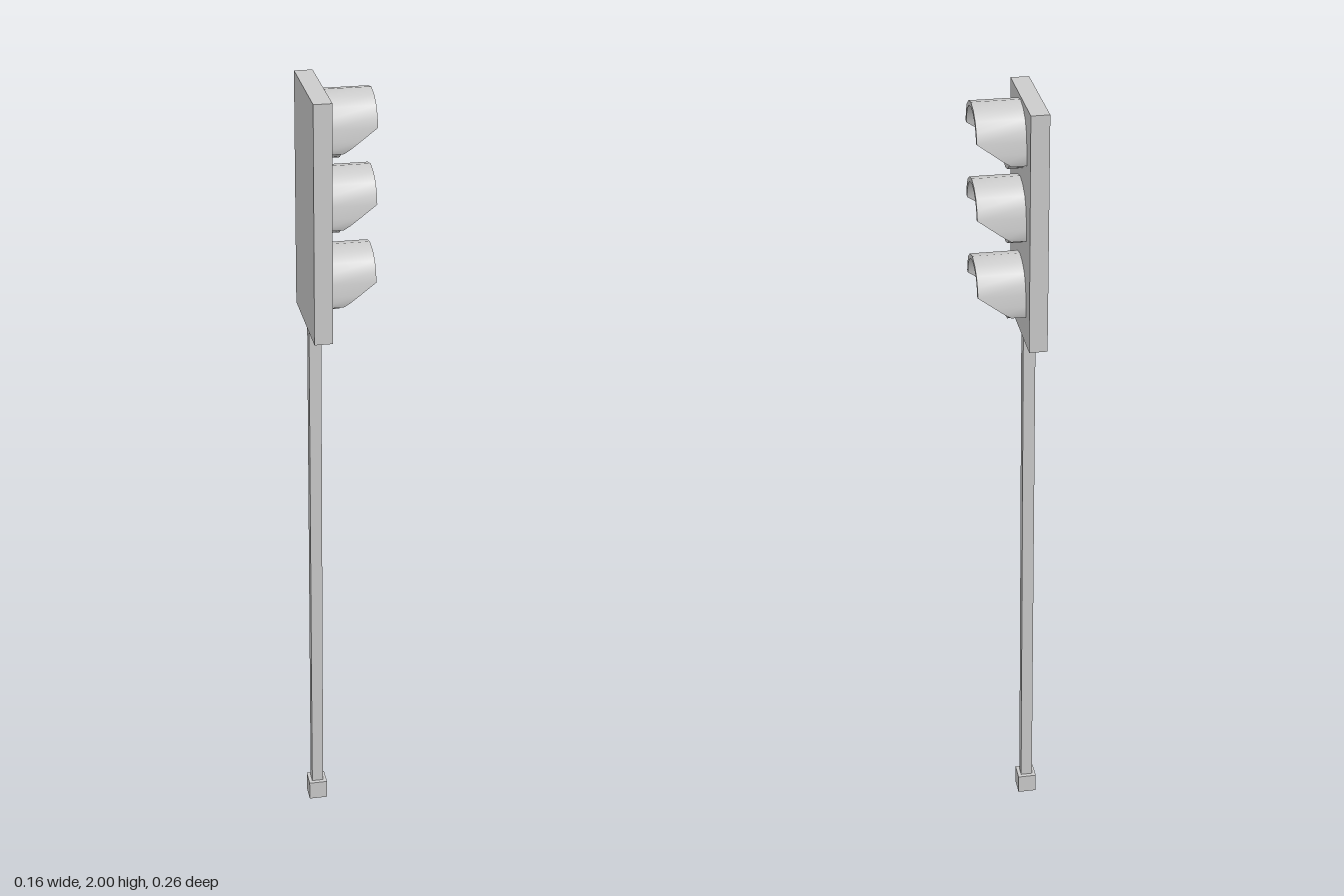
import * as THREE from 'three';
import { toCreasedNormals } from 'three/addons/utils/BufferGeometryUtils.js';

const material = new THREE.MeshStandardMaterial({ color: 0xcccccc });
const AXIS_X = -0.057; // line of the pole
const BOARD_FRONT = -0.035;

function addMesh(parent, name, geometry, x, y, z) {
  const mesh = new THREE.Mesh(geometry, material);
  mesh.name = name;
  mesh.position.set(x, y, z);
  parent.add(mesh);
  return mesh;
}

// Hood: an arch with splayed legs, its front cut back at a slant towards the bottom
function visorGeometry() {
  const half = [ // [z, y] from the foot of a leg up to the crown
    [0.084, -0.041], [0.0875, -0.03], [0.086, -0.012], [0.082, 0.016],
    [0.076, 0.04], [0.062, 0.063], [0.035, 0.08],
  ];
  const arch = [...half, [0, 0.088], ...half.map(([z, y]) => [-z, y]).reverse()];
  const frontX = (y) => Math.min(0.079, 0.079 * (y + 0.041) / 0.057);

  // Each station is a rectangle: outer back, outer front, inner front, inner back
  const stations = arch.map(([z, y]) => {
    const iz = z * 0.87;
    const iy = y > 0 ? y * 0.87 : y;
    return [
      [BOARD_FRONT, y, z], [frontX(y), y, z],
      [frontX(y), iy, iz], [BOARD_FRONT, iy, iz],
    ];
  });
  const positions = [];
  const quad = (a, b, c, d) => positions.push(...a, ...b, ...c, ...a, ...c, ...d);
  for (let i = 0; i < stations.length - 1; i++) {
    const s = stations[i];
    const t = stations[i + 1];
    for (let k = 0; k < 4; k++) {
      const n = (k + 1) % 4;
      quad(s[k], s[n], t[n], t[k]);
    }
  }
  const [a, b, c, d] = stations[0];
  quad(a, d, c, b);
  quad(...stations[stations.length - 1]);

  const geometry = new THREE.BufferGeometry();
  geometry.setAttribute('position', new THREE.Float32BufferAttribute(positions, 3));
  return toCreasedNormals(geometry, 0.75);
}

// Square sleeve, open underneath
function sleeveGeometry(outer, wall, height) {
  const square = (h) => [[-h, -h], [h, -h], [h, h], [-h, h]].map(([x, y]) => new THREE.Vector2(x, y));
  const shape = new THREE.Shape(square(outer / 2));
  shape.holes.push(new THREE.Path(square(outer / 2 - wall).reverse()));
  const geometry = new THREE.ExtrudeGeometry(shape, { depth: height, bevelEnabled: false });
  return geometry.rotateX(-Math.PI / 2);
}

export function createModel() {
  const model = new THREE.Group();
  model.name = 'trafficLight';

  // Foot and pole
  const foot = new THREE.Group();
  foot.name = 'foot';
  addMesh(foot, 'footSleeve', sleeveGeometry(0.048, 0.008, 0.042), AXIS_X, 0, 0);
  addMesh(foot, 'footCap', new THREE.BoxGeometry(0.048, 0.01, 0.048), AXIS_X, 0.047, 0);
  model.add(foot);
  addMesh(model, 'pole', new THREE.BoxGeometry(0.03, 1.366, 0.027), AXIS_X, 0.733, 0);

  // Backing board
  addMesh(model, 'backboard', new THREE.BoxGeometry(0.044, 0.587, 0.262), AXIS_X, 1.7065, 0);

  // Three lamps, each a lens drum under a hood
  const hood = visorGeometry();
  const lens = new THREE.CylinderGeometry(0.073, 0.073, 0.035, 16).rotateZ(-Math.PI / 2);
  ['top', 'middle', 'bottom'].forEach((place, i) => {
    const lamp = new THREE.Group();
    lamp.name = place + 'Lamp';
    lamp.position.y = [1.905, 1.72, 1.525][i];
    addMesh(lamp, 'lens', lens, BOARD_FRONT + 0.0175, 0, 0);
    addMesh(lamp, 'visor', hood, 0, 0, 0);
    model.add(lamp);
  });

  return model;
}
